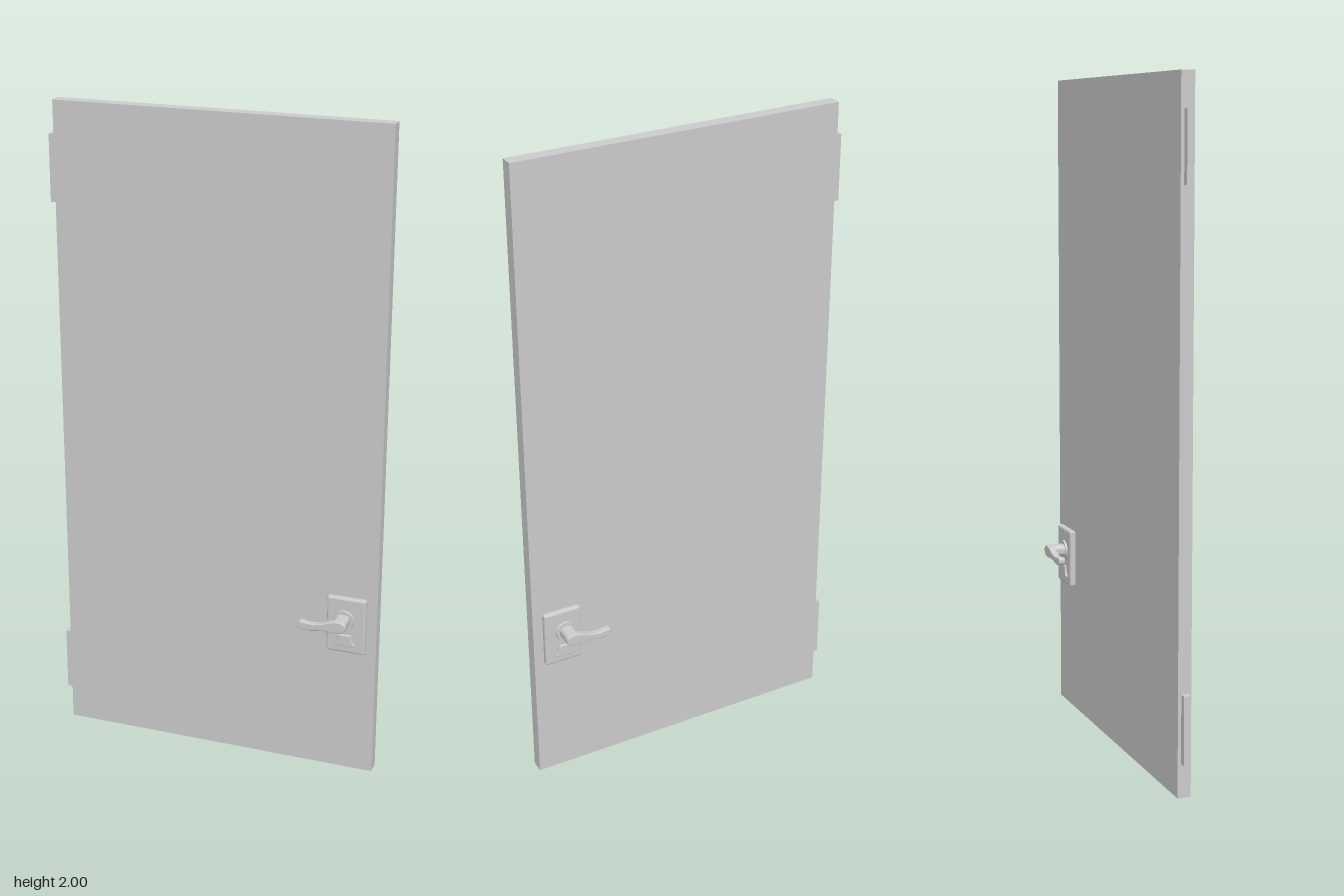
import * as THREE from 'three';

const material = new THREE.MeshStandardMaterial({ color: 0xcccccc });

function part(name, geometry, x = 0, y = 0, z = 0) {
  const mesh = new THREE.Mesh(geometry, material);
  mesh.name = name;
  mesh.position.set(x, y, z);
  return mesh;
}

// Extrudes a shape from z0 to z1 with a bevel that stays inside the outline
function slab(shape, z0, z1, bevel, segments = 2) {
  const geometry = new THREE.ExtrudeGeometry(shape, {
    depth: z1 - z0 - 2 * bevel,
    bevelThickness: bevel, bevelSize: bevel, bevelOffset: -bevel,
    bevelSegments: segments, curveSegments: 12,
  });
  return geometry.translate(0, 0, z0 + bevel);
}

function roundedRect(cx, cy, w, h, r) {
  const s = new THREE.Shape();
  const x = cx - w / 2, y = cy - h / 2;
  s.moveTo(x + r, y).lineTo(x + w - r, y);
  s.absarc(x + w - r, y + r, r, -Math.PI / 2, 0);
  s.absarc(x + w - r, y + h - r, r, 0, Math.PI / 2);
  s.absarc(x + r, y + h - r, r, Math.PI / 2, Math.PI);
  s.absarc(x + r, y + r, r, Math.PI, Math.PI * 1.5);
  return s;
}

// Wavy lever outline, thick at the neck and thin towards the tip
function leverShape() {
  const s = new THREE.Shape();
  s.moveTo(0.417, 0.534);
  s.bezierCurveTo(0.385, 0.535, 0.37, 0.519, 0.34, 0.516);
  s.bezierCurveTo(0.32, 0.514, 0.305, 0.519, 0.295, 0.519);
  s.bezierCurveTo(0.288, 0.518, 0.287, 0.501, 0.293, 0.498);
  s.bezierCurveTo(0.31, 0.489, 0.33, 0.494, 0.35, 0.498);
  s.bezierCurveTo(0.375, 0.501, 0.395, 0.496, 0.417, 0.498);
  s.bezierCurveTo(0.441, 0.5, 0.441, 0.532, 0.417, 0.534);
  return s;
}

// Key cover: a trapezoid with flared feet
function keyCoverShape() {
  const s = new THREE.Shape();
  s.moveTo(0.385, 0.429).lineTo(0.449, 0.429).lineTo(0.449, 0.435);
  s.quadraticCurveTo(0.441, 0.442, 0.437, 0.467);
  s.lineTo(0.397, 0.467);
  s.quadraticCurveTo(0.393, 0.442, 0.385, 0.435);
  return s;
}

function handleSet(name) {
  const g = new THREE.Group();
  g.name = name;
  g.add(part('backPlate', slab(roundedRect(0.42, 0.495, 0.12, 0.18, 0.005), 0.018, 0.039, 0.006)));
  const collar = new THREE.CylinderGeometry(0.03, 0.032, 0.008, 32).rotateX(Math.PI / 2);
  g.add(part('collar', collar, 0.414, 0.515, 0.041));
  g.add(part('neck', slab(roundedRect(0.412, 0.516, 0.044, 0.036, 0.014), 0.035, 0.092, 0.002)));
  g.add(part('lever', slab(leverShape(), 0.079, 0.1, 0.003, 3)));
  g.add(part('keyCover', slab(keyCoverShape(), 0.034, 0.045, 0.003)));
  return g;
}

export function createModel() {
  const model = new THREE.Group();
  model.name = 'door';

  model.add(part('doorLeaf', new THREE.BoxGeometry(1, 2, 0.04), 0.01, 1, 0));

  // Hinges on the right edge
  for (const [name, y] of [['lowerHinge', 0.2], ['upperHinge', 1.8]]) {
    model.add(part(name, new THREE.BoxGeometry(0.022, 0.2, 0.02), -0.499, y, 0));
  }

  // Matching handles on both faces
  const back = handleSet('backHandle');
  back.scale.z = -1;
  model.add(handleSet('frontHandle'), back);

  return model;
}
